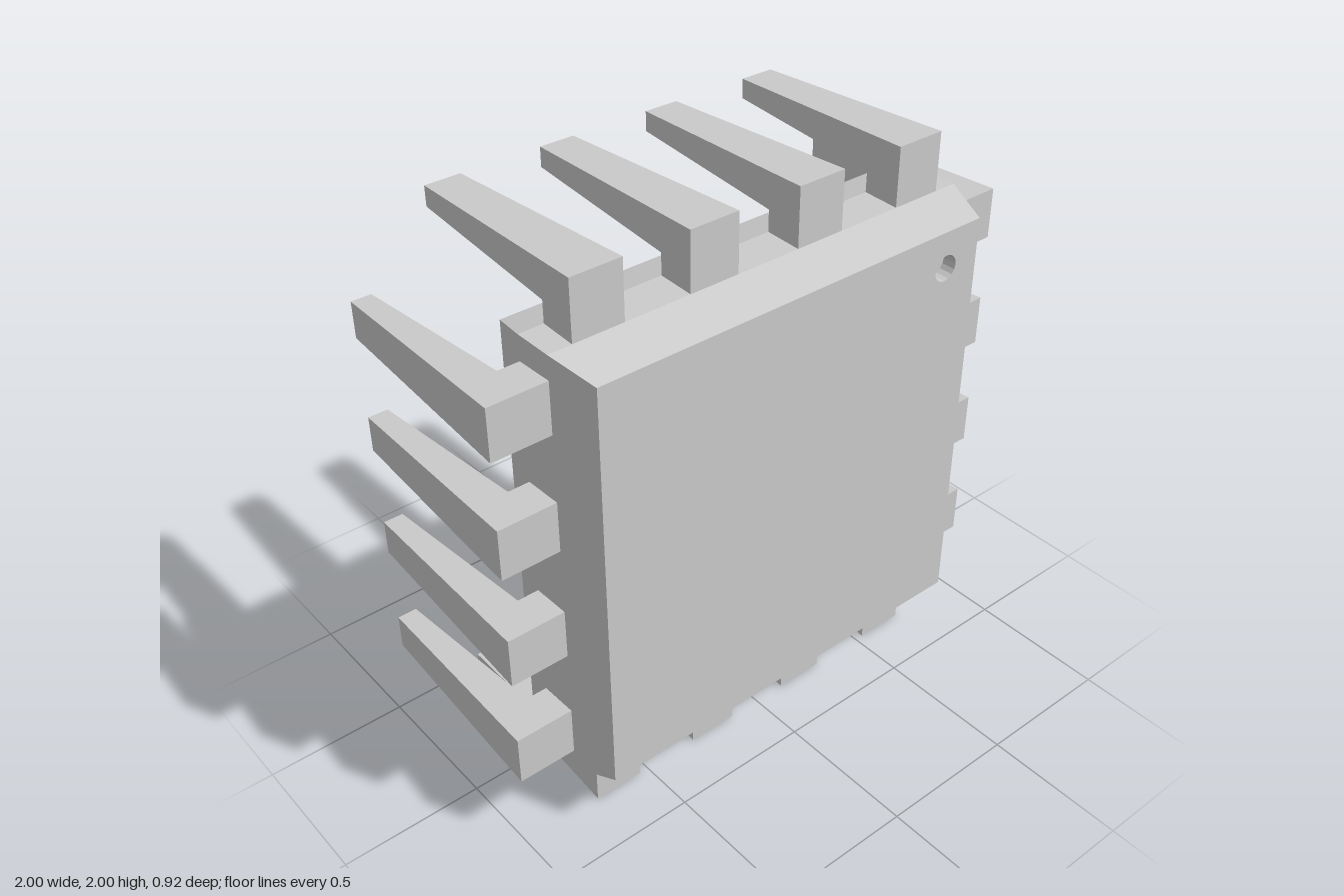
import * as THREE from 'three';

const FRONT = 0.458, BACK = 0.003, TIP = -0.458;
const material = new THREE.MeshStandardMaterial({ color: 0xcccccc, flatShading: true });

function addMesh(parent, name, geometry) {
  const mesh = new THREE.Mesh(geometry, material);
  mesh.name = name;
  parent.add(mesh);
  return mesh;
}

// Revolve [radius, z] points around the z axis
function latheZ(points, segments, phiStart = 0) {
  const profile = points.map(([r, z]) => new THREE.Vector2(r, z));
  return new THREE.LatheGeometry(profile, segments, phiStart).rotateX(Math.PI / 2);
}

// L-shaped lead: short stub out of the package, then a long arm tapering backwards
function pinGeometry() {
  const shape = new THREE.Shape([
    [0.795, 0.162], [0.87, 0.162], [0.903, TIP], [0.972, TIP], [1, 0.3], [0.795, 0.3],
  ].map(([u, z]) => new THREE.Vector2(u, z)));
  const geometry = new THREE.ExtrudeGeometry(shape, { depth: 0.18, bevelEnabled: false });
  geometry.translate(0, 0, -0.09);
  const p = geometry.attributes.position;
  for (let i = 0; i < p.count; i++) {
    const t = (0.3 - p.getY(i)) / (0.3 - TIP);
    p.setZ(i, p.getZ(i) * (1 - 0.3 * t));
  }
  geometry.rotateX(Math.PI / 2);
  geometry.computeVertexNormals();
  return geometry;
}

export function createModel() {
  const model = new THREE.Group();
  model.name = 'chip';

  // Package: square section with bevelled front and back edges
  const body = new THREE.Group();
  body.name = 'body';
  body.position.y = 1;
  model.add(body);
  const s = Math.SQRT2, half = 0.75, wide = 0.795;
  addMesh(body, 'package', latheZ(
    [[0, BACK], [half * s, BACK], [wide * s, 0.162], [wide * s, 0.3], [half * s, FRONT]], 4, Math.PI / 4));

  // Front face with the round orientation dimple
  const dot = { x: 0.61, y: 0.62, r: 0.046, segments: 16 };
  const face = new THREE.Shape([[-1, -1], [1, -1], [1, 1], [-1, 1]]
    .map(([x, y]) => new THREE.Vector2(x * half, y * half)));
  const hole = [];
  for (let i = 0; i < dot.segments; i++) {
    const a = (i / dot.segments) * Math.PI * 2;
    hole.push(new THREE.Vector2(dot.x + dot.r * Math.cos(a), dot.y + dot.r * Math.sin(a)));
  }
  face.holes.push(new THREE.Path(hole));
  addMesh(body, 'frontFace', new THREE.ShapeGeometry(face).translate(0, 0, FRONT));
  addMesh(body, 'dimple', latheZ([[dot.r, FRONT], [dot.r, FRONT - 0.05], [0, FRONT - 0.05]], dot.segments))
    .position.set(dot.x, dot.y, 0);

  // Four leads on each of the four sides
  const pin = pinGeometry();
  ['left', 'top', 'right', 'bottom'].forEach((side, k) => {
    const row = new THREE.Group();
    row.name = side + 'Pins';
    row.position.y = 1;
    row.rotation.z = k * Math.PI / 2;
    for (let i = 0; i < 4; i++) addMesh(row, 'pin', pin).position.y = (i - 1.5) * 0.415;
    model.add(row);
  });
  return model;
}
